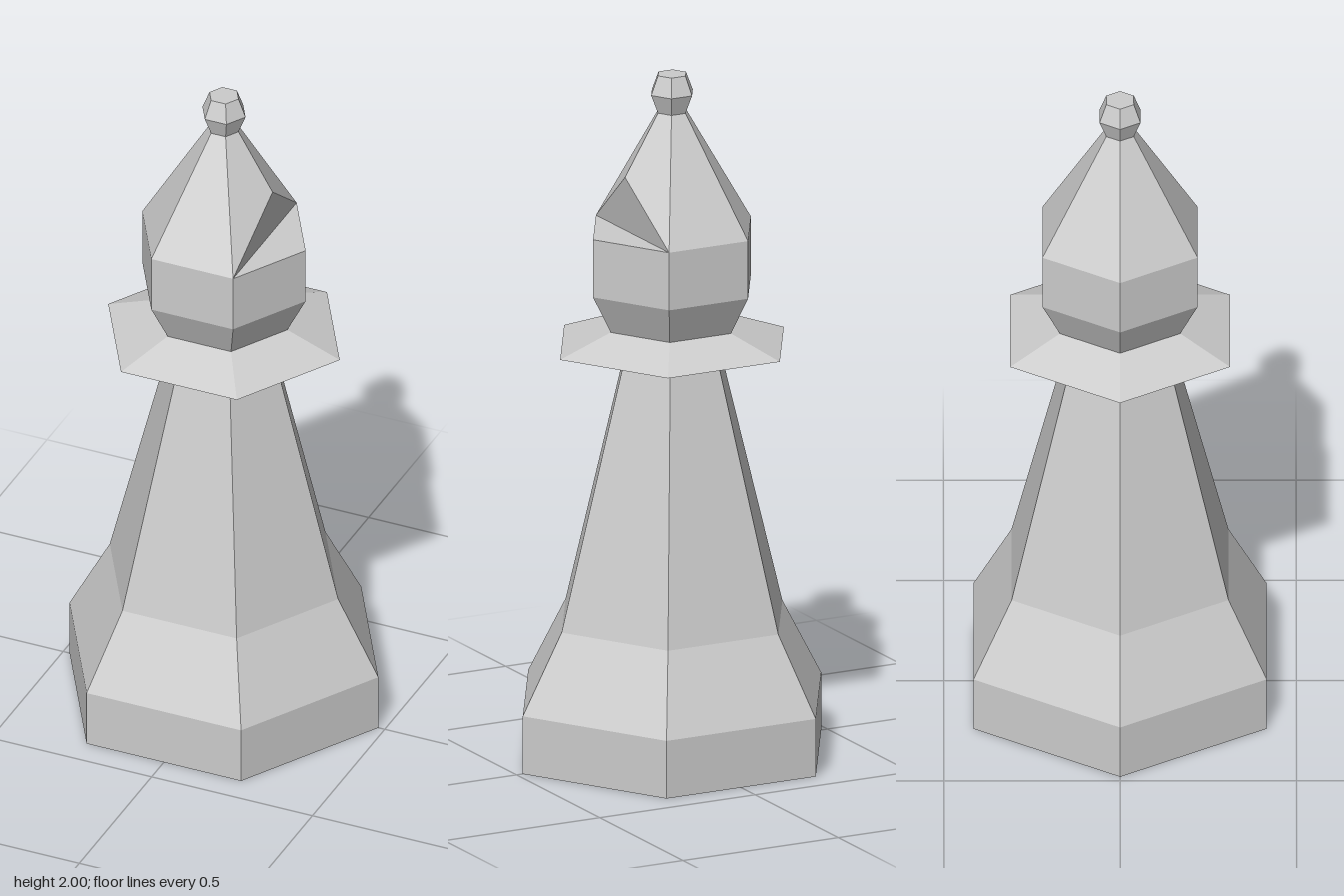
import * as THREE from 'three';

const material = new THREE.MeshStandardMaterial({ color: 0xcccccc, flatShading: true });

function addMesh(group, name, geometry) {
  const flat = geometry.index ? geometry.toNonIndexed() : geometry;
  flat.computeVertexNormals();
  const mesh = new THREE.Mesh(flat, material);
  mesh.name = name;
  group.add(mesh);
}

// Six-sided turned part with corners on the x axis; profile runs bottom to top.
function hexLathe(profile) {
  const points = profile.map(([r, y]) => new THREE.Vector2(r, y));
  return new THREE.LatheGeometry(points, 6, Math.PI / 2);
}

export function createModel() {
  const group = new THREE.Group();
  group.name = 'bishopPiece';

  // Foot and tapering stem
  addMesh(group, 'body', hexLathe([[0, 0], [0.48, 0], [0.48, 0.17], [0.355, 0.4], [0.155, 1.168]]));

  // Thin flared collar
  addMesh(group, 'collar', hexLathe([[0.155, 1.168], [0.36, 1.205], [0.197, 1.264]]));

  // Head drum; its flat top is the floor of the notch
  const R = 0.254, headTop = 1.545;
  addMesh(group, 'head', hexLathe([[0.197, 1.264], [R, 1.375], [R, headTop], [0, headTop]]));

  // Pointed mitre: its +x bottom corner slides up the edge to open the notch
  const tipR = 0.045, tipY = 1.89, notchY = 1.715;
  const t = (notchY - headTop) / (tipY - headTop);
  const notchX = R + (tipR - R) * t;
  const mitre = hexLathe([[R, headTop], [tipR, tipY]]);
  const pos = mitre.attributes.position;
  for (let i = 0; i < pos.count; i++) {
    if (pos.getX(i) > R - 0.01) pos.setXYZ(i, notchX, notchY, 0);
  }
  addMesh(group, 'mitre', mitre);

  // Steep face of the notch
  const cx = R / 2, cz = R * Math.sin(Math.PI / 3);
  addMesh(group, 'notchFace', new THREE.BufferGeometry().setFromPoints([
    new THREE.Vector3(cx, headTop, cz),
    new THREE.Vector3(cx, headTop, -cz),
    new THREE.Vector3(notchX, notchY, 0),
  ]));

  // Small knob on top
  addMesh(group, 'finial', hexLathe([[0, tipY], [tipR, tipY], [0.067, 1.945], [0.045, 2], [0, 2]]));

  return group;
}
